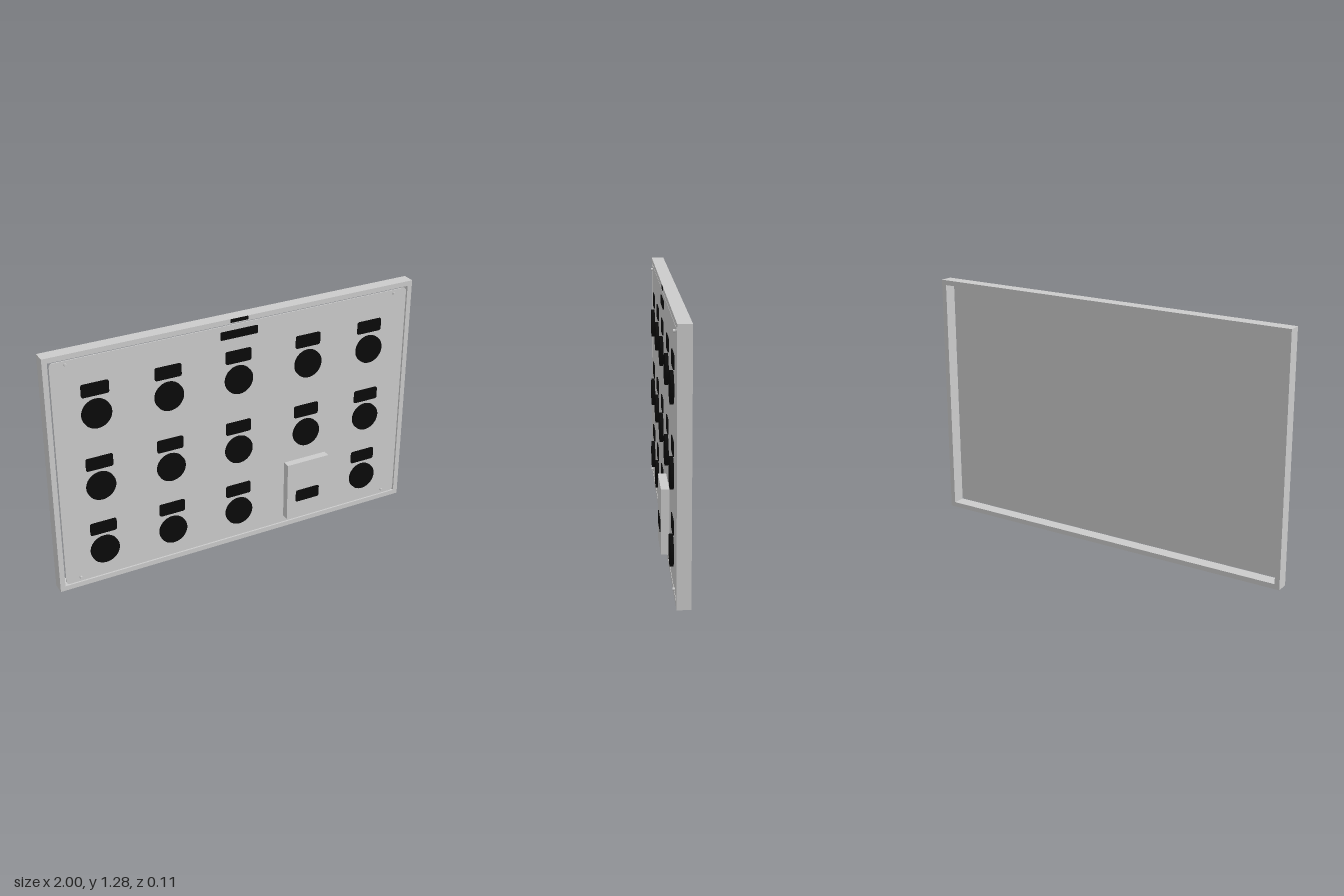
import * as THREE from 'three';

const grey = new THREE.MeshStandardMaterial({ color: 0xcccccc });
const black = new THREE.MeshStandardMaterial({ color: 0x0a0a0a });

const FACE = 0.012; // front of the plate

// Rounded rectangle outline centred on the origin
function roundedRect(w, h, r) {
  const x = w / 2, y = h / 2;
  const s = new THREE.Shape();
  s.moveTo(-x + r, -y);
  s.lineTo(x - r, -y);
  s.absarc(x - r, -y + r, r, -Math.PI / 2, 0);
  s.lineTo(x, y - r);
  s.absarc(x - r, y - r, r, 0, Math.PI / 2);
  s.lineTo(-x + r, y);
  s.absarc(-x + r, y - r, r, Math.PI / 2, Math.PI);
  s.lineTo(-x, -y + r);
  s.absarc(-x + r, -y + r, r, Math.PI, Math.PI * 1.5);
  return s;
}

export function createModel() {
  const model = new THREE.Group();
  model.name = 'controlPanel';

  function add(name, geometry, material, x, y, z) {
    const mesh = new THREE.Mesh(geometry, material);
    mesh.name = name;
    mesh.position.set(x, y, z);
    model.add(mesh);
  }

  // Extruded rounded slab spanning z0 to z1
  function slab(name, material, x, y, w, h, r, z0, z1) {
    const geometry = new THREE.ExtrudeGeometry(roundedRect(w, h, r), {
      depth: z1 - z0, bevelEnabled: false, curveSegments: 8,
    });
    add(name, geometry, material, x, y, z0);
  }

  // Disc facing +z, spanning z0 to z1
  function disc(name, material, x, y, r, z0, z1, sides) {
    const geometry = new THREE.CylinderGeometry(r, r, z1 - z0, sides).rotateX(Math.PI / 2);
    add(name, geometry, material, x, y, (z0 + z1) / 2);
  }

  // Outer frame, open at the back
  const outline = new THREE.Shape([[-1, -0.64], [1, -0.64], [1, 0.64], [-1, 0.64]]
    .map(([x, y]) => new THREE.Vector2(x, y)));
  outline.holes.push(new THREE.Path([[-0.974, -0.614], [-0.974, 0.614], [0.974, 0.614], [0.974, -0.614]]
    .map(([x, y]) => new THREE.Vector2(x, y))));
  add('frame', new THREE.ExtrudeGeometry(outline, { depth: 0.066, bevelEnabled: false }),
    grey, 0, 0.64, -0.053);

  // Thin front plate with a narrow gap to the frame
  slab('frontPlate', grey, 0, 0.64, 1.934, 1.216, 0.02, 0.006, FACE);

  // Grid of round controls, each with a label above
  const columns = [-0.755, -0.382, -0.005, 0.388, 0.75];
  const rows = [0.95, 0.555, 0.187];
  rows.forEach((y, row) => columns.forEach((x, column) => {
    if (row === 2 && column === 3) return; // place of the raised box
    disc('roundControl', black, x, y, 0.075, 0.007, 0.028, 48);
    slab('controlLabel', black, x, y + 0.126, 0.14, 0.068, 0.01, 0.007, 0.017);
  }));

  // Raised box with its own label
  add('raisedBox', new THREE.BoxGeometry(0.245, 0.327, 0.04), grey, 0.389, 0.234, 0.032);
  slab('boxLabel', black, 0.388, 0.197, 0.14, 0.068, 0.01, 0.05, 0.0545);

  // Title strip and the small tab on the top of the frame
  slab('titleStrip', black, 0, 1.199, 0.2, 0.042, 0.003, 0.007, 0.017);
  slab('topTab', black, 0, 1.27, 0.095, 0.018, 0.002, 0.01, 0.016);

  // Corner screws
  for (const x of [-0.89, 0.89]) {
    for (const y of [0.055, 1.23]) disc('cornerScrew', grey, x, y, 0.007, 0.01, 0.023, 16);
  }

  return model;
}
